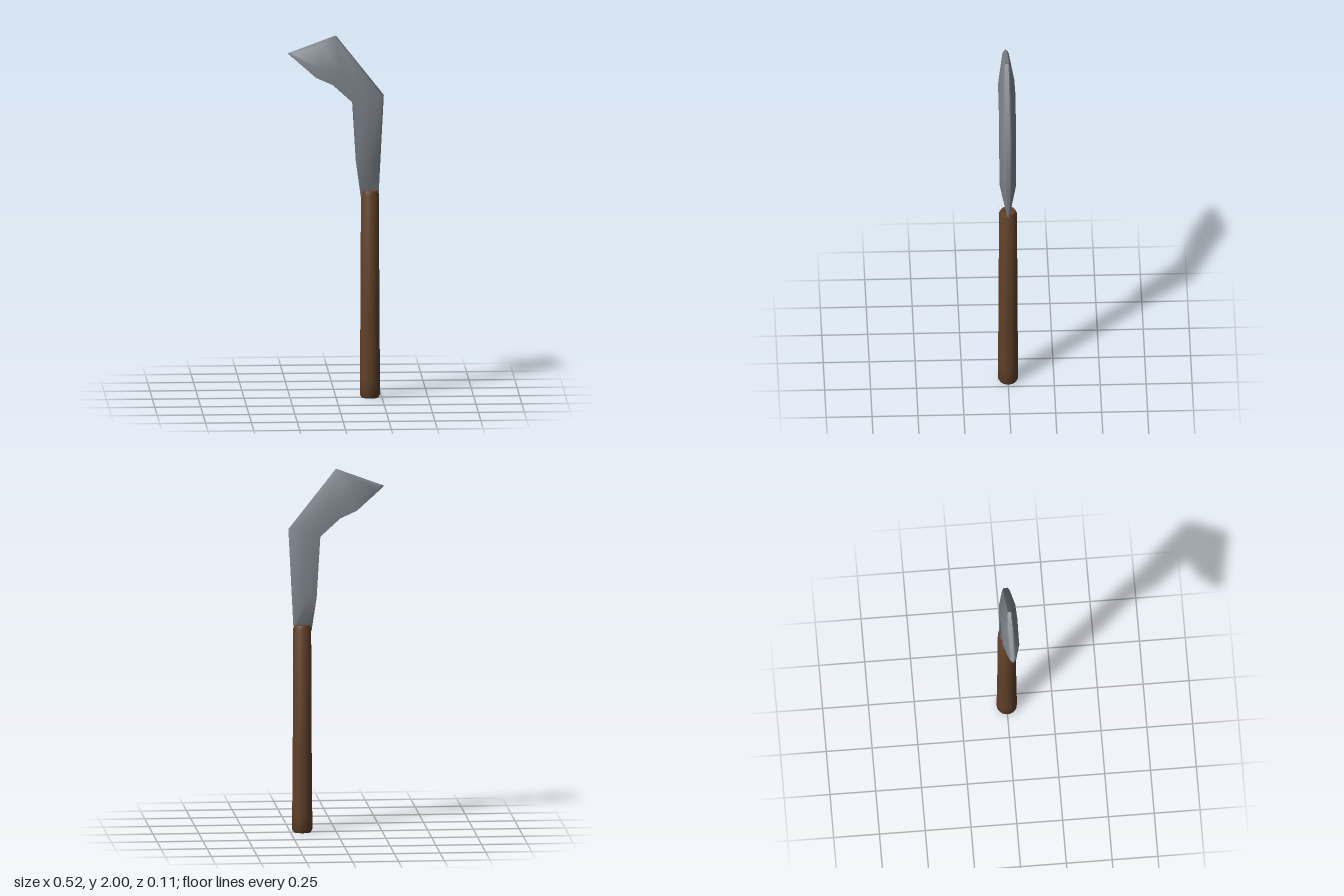
import * as THREE from 'three';
import { toCreasedNormals } from 'three/addons/utils/BufferGeometryUtils.js';

const steel = new THREE.MeshStandardMaterial({ color: 0x7f858d });
steel.name = 'steel';
const wood = new THREE.MeshStandardMaterial({ color: 0x5f4029 });
wood.name = 'wood';

// Blade sections from the handle to the hooked tip:
// inner edge x,y | mid line x,y | spine x,y | half thickness of each
const sections = [
  [0.135, 1.11, 0.16, 1.12, 0.233, 1.13, 0.01, 0.01, 0.006],
  [0.11, 1.3, 0.165, 1.3, 0.241, 1.3, 0.045, 0.045, 0.02],
  [0.09, 1.635, 0.165, 1.655, 0.26, 1.67, 0.045, 0.045, 0.02],
  [-0.02, 1.735, 0.02, 1.82, 0.0, 2.0, 0.045, 0.045, 0.018],
  [-0.11, 1.775, -0.09, 1.825, -0.08, 1.971, 0.045, 0.043, 0.018],
  [-0.235, 1.882, -0.238, 1.892, -0.24, 1.912, 0.018, 0.018, 0.012],
  [-0.26, 1.902, -0.26, 1.904, -0.26, 1.906, 0.002, 0.002, 0.001],
];

// Closed ring: flat inner edge, thick middle, rounded narrow spine
function ring([ix, iy, mx, my, sx, sy, ti, tm, ts]) {
  const k = 0.12;
  const shoulder = [sx + (mx - sx) * k, sy + (my - sy) * k];
  const half = [[ix, iy, ti], [mx, my, tm], [...shoulder, ts], [sx, sy, ts * 0.5]];
  return [...half, ...half.map(([x, y, z]) => [x, y, -z]).reverse()];
}

function bladeGeometry() {
  const rings = sections.map(ring);
  const n = rings[0].length;
  const last = (rings.length - 1) * n;
  const index = [];
  for (let i = 0; i < rings.length - 1; i++) {
    for (let j = 0; j < n; j++) {
      const a = i * n + j, b = i * n + (j + 1) % n;
      index.push(a, b, b + n, a, b + n, a + n);
    }
  }
  // End caps
  for (let j = 1; j < n - 1; j++) {
    index.push(0, j + 1, j, last, last + j, last + j + 1);
  }
  const g = new THREE.BufferGeometry();
  g.setAttribute('position', new THREE.Float32BufferAttribute(rings.flat(2), 3));
  g.setIndex(index);
  return toCreasedNormals(g, 1.1);
}

function handleGeometry() {
  // Slightly tapered grip with bevelled ends
  const profile = [
    [0, 0], [0.046, 0], [0.055, 0.015], [0.055, 0.1], [0.052, 0.45],
    [0.049, 1.125], [0.041, 1.143], [0, 1.143],
  ].map(([r, y]) => new THREE.Vector2(r, y));
  return toCreasedNormals(new THREE.LatheGeometry(profile, 24), 0.6);
}

export function createModel() {
  const model = new THREE.Group();
  model.name = 'billhook';

  const handle = new THREE.Mesh(handleGeometry(), wood);
  handle.name = 'handle';
  handle.position.x = 0.185;

  const blade = new THREE.Mesh(bladeGeometry(), steel);
  blade.name = 'blade';

  model.add(handle, blade);
  return model;
}
